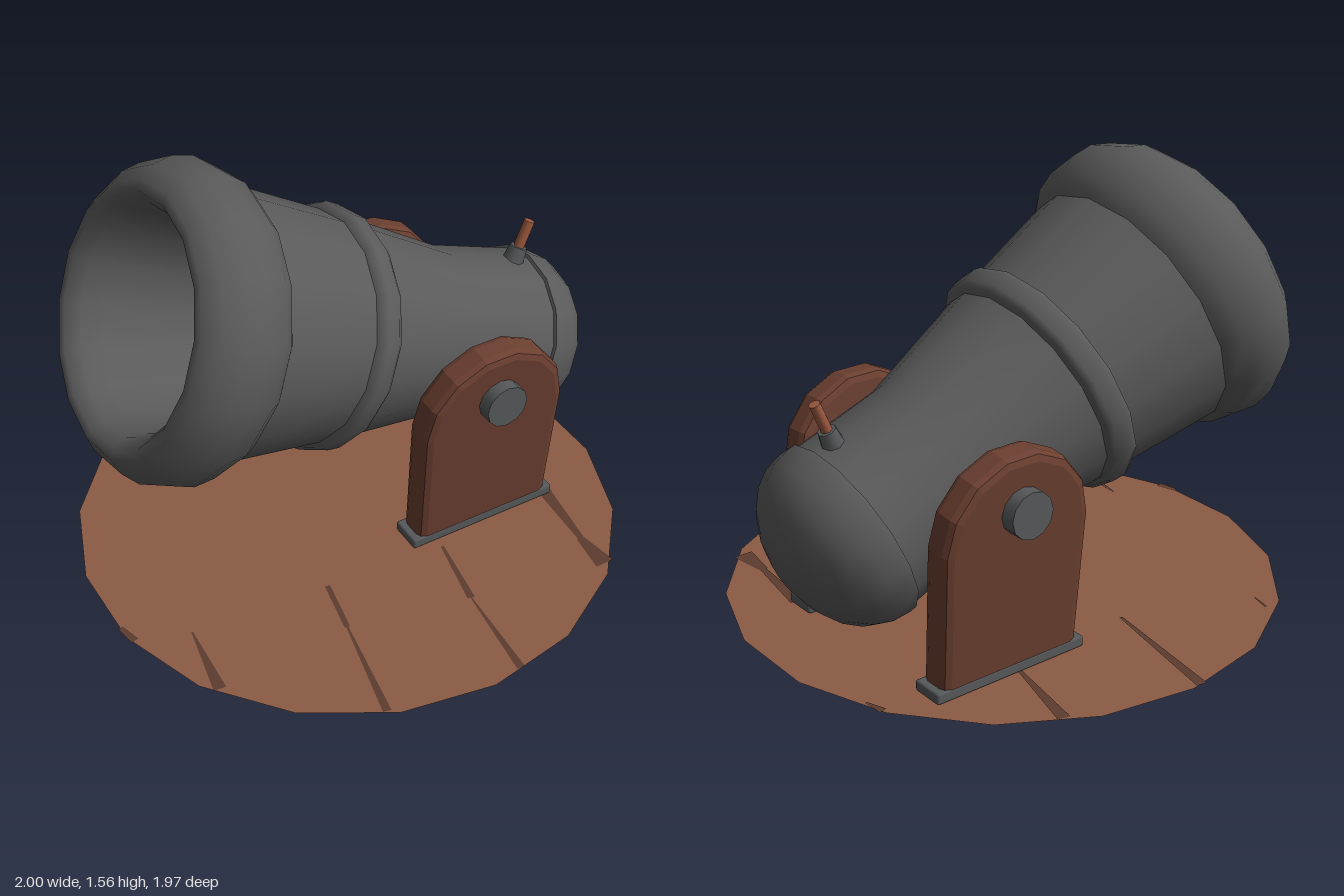
import * as THREE from 'three';
import { RoundedBoxGeometry } from 'three/addons/geometries/RoundedBoxGeometry.js';

const paint = (name, color, extra = {}) => {
  const m = new THREE.MeshStandardMaterial({ color, ...extra });
  m.name = name;
  return m;
};

export function createModel() {
  const iron = paint('iron', 0x5a5a5a);
  const steel = paint('steel', 0x56595a);
  const wood = paint('dark wood', 0x6b3f30);
  const floorWood = paint('floor wood', 0x8c5b45, { side: THREE.DoubleSide });
  const gapBrown = paint('plank gap', 0x5c3c30, { side: THREE.DoubleSide });
  const fuseBrown = paint('fuse brown', 0x9c5a40);

  const model = new THREE.Group();
  model.name = 'cannon';
  const add = (parent, name, geometry, material, x = 0, y = 0, z = 0) => {
    const mesh = new THREE.Mesh(geometry, material);
    mesh.name = name;
    mesh.position.set(x, y, z);
    parent.add(mesh);
    return mesh;
  };

  // Round plank floor
  add(model, 'floor', new THREE.CircleGeometry(1, 18).rotateX(-Math.PI / 2), floorWood);

  // Tapered gaps between planks: x1, z1, x2, z2, width at each end
  const gaps = [
    [-0.53, -0.85, -0.36, -0.38, 0.04, 0.012], [-0.07, 0.4, 0.0, 0.6, 0.02, 0.02],
    [0.0, 0.6, 0.13, 0.98, 0.008, 0.03],
    [-0.05, -0.98, 0.05, -0.66, 0.045, 0.012], [0.35, 0.2, 0.44, 0.46, 0.012, 0.028],
    [0.44, 0.46, 0.59, 0.79, 0.006, 0.03],
    [-0.88, -0.38, -0.86, -0.31, 0.01, 0.005], [-0.54, 0.62, -0.43, 0.88, 0.006, 0.045],
    [0.51, -0.855, 0.56, -0.8, 0.03, 0.008], [0.75, -0.1, 0.88, 0.2, 0.05, 0.02],
    [0.86, 0.16, 0.935, 0.29, 0.03, 0.075], [-0.79, 0.6, -0.735, 0.66, 0.02, 0.03],
  ];
  for (const [x1, z1, x2, z2, w1, w2] of gaps) {
    const len = Math.hypot(x2 - x1, z2 - z1);
    const nx = -(z2 - z1) / len / 2, nz = (x2 - x1) / len / 2;
    const shape = new THREE.Shape([
      new THREE.Vector2(x1 + nx * w1, -z1 - nz * w1), new THREE.Vector2(x2 + nx * w2, -z2 - nz * w2),
      new THREE.Vector2(x2 - nx * w2, -z2 + nz * w2), new THREE.Vector2(x1 - nx * w1, -z1 + nz * w1),
    ]);
    add(model, 'plankGap', new THREE.ShapeGeometry(shape).rotateX(-Math.PI / 2), gapBrown, 0, 0.003, 0);
  }

  // Turned carriage: local +z is the firing direction
  const carriage = new THREE.Group();
  carriage.name = 'carriage';
  carriage.position.set(0.29, 0, -0.32);
  carriage.rotation.y = -Math.PI / 3;
  model.add(carriage);

  // Arched side brackets, leaning outwards, on foot plates
  const half = 0.26, arch = 0.53;
  const outline = new THREE.Shape();
  outline.moveTo(-half + 0.012, 0.03);
  outline.lineTo(half - 0.012, 0.03);
  outline.lineTo(half, arch);
  for (let i = 1; i <= 7; i++) {
    const a = (i / 7) * Math.PI;
    outline.lineTo(half * Math.cos(a), arch + half * Math.sin(a));
  }
  outline.closePath();
  const bracketGeometry = new THREE.ExtrudeGeometry(outline, {
    depth: 0.06, bevelSize: 0.03, bevelThickness: 0.03, bevelSegments: 2,
  }).translate(0, 0, -0.03).rotateY(Math.PI / 2);
  for (const side of [1, -1]) {
    const bracket = add(carriage, 'bracket', bracketGeometry, wood, side * 0.375, 0, 0);
    bracket.rotation.z = -side * 0.08;
    add(carriage, 'footPlate', new RoundedBoxGeometry(0.125, 0.04, 0.61, 1, 0.008), steel, side * 0.378, 0.021, 0);
  }
  add(carriage, 'trunnion', new THREE.CylinderGeometry(0.082, 0.082, 1.08, 12).rotateZ(Math.PI / 2), steel, 0, 0.62, 0);

  // Tilted barrel: local +y points out of the muzzle, -z is up
  const barrel = new THREE.Group();
  barrel.name = 'barrel';
  barrel.position.set(0, 1.03, 1.026);
  barrel.rotation.x = Math.PI / 2 - Math.PI / 8;
  carriage.add(barrel);

  // Profiles list the distance behind the muzzle and the radius
  const turn = (name, profile) => add(barrel, name, new THREE.LatheGeometry(
    profile.map(([s, r]) => new THREE.Vector2(r, -s)), 16), iron);
  turn('barrelBody', [[1.5, 0.322], [1.1, 0.314], [0.69, 0.395], [0.15, 0.482]]);
  turn('barrelBand', [[0.68, 0.385], [0.67, 0.418], [0.65, 0.435], [0.6, 0.443], [0.575, 0.435], [0.565, 0.405]]);
  turn('muzzleRing', [
    [0.2, 0.45], [0.17, 0.49], [0.12, 0.53], [0.04, 0.556], [-0.04, 0.55], [-0.11, 0.515],
    [-0.155, 0.465], [-0.155, 0.425], [-0.11, 0.39], [-0.04, 0.375],
  ]);
  turn('bore', [[-0.04, 0.375], [0.6, 0.31], [0.95, 0.27]]);
  turn('boreEnd', [[0.95, 0.27], [0.95, 0]]);

  // Rounded breech cap with a slight lip
  const cap = [];
  for (let i = 0; i <= 6; i++) {
    const a = (i / 6) * Math.PI / 2;
    cap.push([1.49 + 0.25 * Math.cos(a), 0.335 * Math.sin(a)]);
  }
  turn('breechCap', [...cap, [1.465, 0.334]]);
  turn('breechLip', [[1.465, 0.334], [1.46, 0.31]]);

  // Fuse in its holder, and a small side lug
  const rod = (r1, r2, h) => new THREE.CylinderGeometry(r1, r2, h, 8).rotateX(-Math.PI / 2);
  add(barrel, 'fuseHolder', rod(0.032, 0.042, 0.07), steel, 0, -1.395, -0.335);
  add(barrel, 'fuse', rod(0.02, 0.02, 0.13), fuseBrown, 0, -1.395, -0.412);
  add(barrel, 'sideLug', new THREE.CylinderGeometry(0.036, 0.036, 0.07, 8).rotateZ(Math.PI / 2), steel, 0.33, -1.43, 0);

  return model;
}
